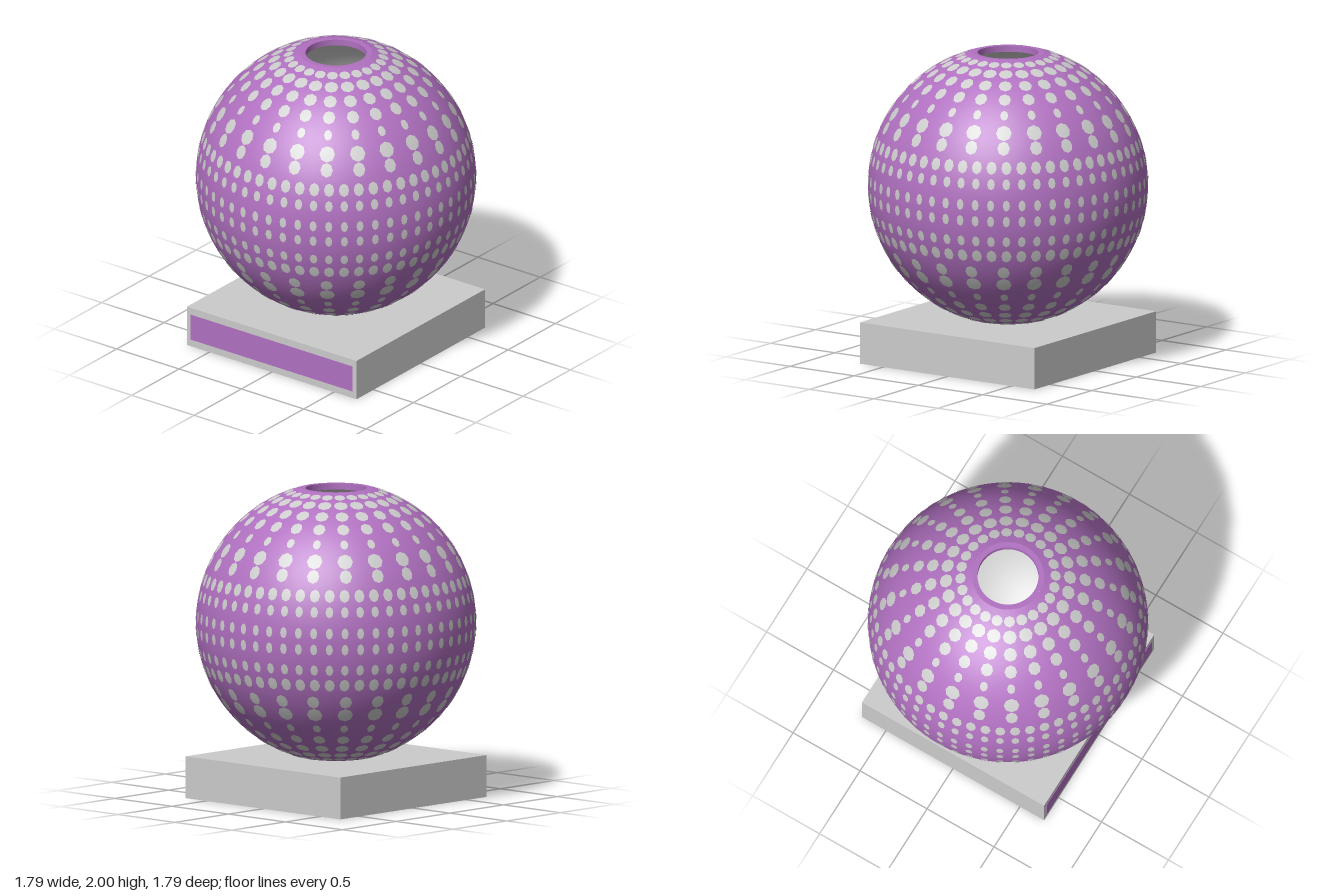
import * as THREE from 'three';
import { mergeGeometries } from 'three/addons/utils/BufferGeometryUtils.js';

const R = 0.895, CENTRE = 1.135, BASE = 0.27;
const grey = new THREE.MeshStandardMaterial({ color: 0xcccccc });
const greyInside = new THREE.MeshStandardMaterial({ color: 0xcccccc, side: THREE.DoubleSide });
const purple = new THREE.MeshStandardMaterial({ color: 0xb070c0 });
const purpleThin = new THREE.MeshStandardMaterial({ color: 0xb070c0, side: THREE.DoubleSide });

function part(name, geometry, material, y = 0, z = 0) {
  const mesh = new THREE.Mesh(geometry, material);
  mesh.name = name;
  mesh.position.set(0, y, z);
  return mesh;
}

// Arc of a sphere cut flat at heights y0 and y1 (relative to its centre)
function sphereArc(r, y0, y1, steps = 48) {
  const a0 = Math.asin(y0 / r), a1 = Math.asin(y1 / r);
  return Array.from({ length: steps + 1 }, (_, i) => {
    const a = a0 + (a1 - a0) * i / steps;
    return new THREE.Vector2(r * Math.cos(a), r * Math.sin(a));
  });
}

// Eight-sided spot wrapped onto the sphere
function spot(offset, angle, halfW, halfH) {
  const g = new THREE.CircleGeometry(1, 8);
  const lat = Math.asin(offset / R);
  const p = g.attributes.position, n = g.attributes.normal, v = new THREE.Vector3();
  for (let i = 0; i < p.count; i++) {
    v.set(p.getX(i) * halfW, p.getY(i) * halfH, R)
      .applyEuler(new THREE.Euler(-lat, angle, 0, 'YXZ')).normalize();
    n.setXYZ(i, v.x, v.y, v.z);
    v.multiplyScalar(R + 0.003);
    p.setXYZ(i, v.x, v.y, v.z);
  }
  return g;
}

export function createModel() {
  const model = new THREE.Group();
  model.name = 'spottedGlobe';

  // Square base with a front panel
  model.add(part('base', new THREE.BoxGeometry(1.36, BASE, 1.36), grey, BASE / 2));
  model.add(part('frontPanel', new THREE.BoxGeometry(1.3, 0.175, 0.006), purple, 0.135, 0.68));

  // Hollow globe, cut flat at top and bottom
  const cut = 2 - CENTRE;
  model.add(part('globe', new THREE.LatheGeometry(sphereArc(R, -cut, cut), 96), purple, CENTRE));
  const lining = [new THREE.Vector2(0, -cut + 0.02), ...sphereArc(R - 0.03, -cut + 0.02, 0.835)];
  model.add(part('lining', new THREE.LatheGeometry(lining, 64), greyInside, CENTRE));

  // Flat rim and the short wall of the opening
  const rim = new THREE.RingGeometry(0.195, Math.sqrt(R * R - cut * cut), 64).rotateX(-Math.PI / 2);
  model.add(part('topRim', rim, purpleThin, 2));
  model.add(part('openingWall', new THREE.CylinderGeometry(0.195, 0.195, 0.04, 64, 1, true), purpleThin, 1.98));

  // Spot rows: height from the equator, count, half width, half height
  const rows = [
    [0.052, 56, 0.023, 0.036], [0.187, 56, 0.025, 0.036],
    [0.288, 56, 0.033, 0.043], [0.405, 24, 0.04, 0.047],
    [0.494, 24, 0.05, 0.053], [0.593, 24, 0.026, 0.036],
    [0.677, 24, 0.04, 0.046], [0.747, 24, 0.043, 0.046],
    [0.803, 24, 0.045, 0.045], [0.842, 24, 0.036, 0.036],
  ];
  const spots = [];
  for (const [height, count, w, h] of rows)
    for (const side of [1, -1])
      for (let i = 0; i < count; i++)
        spots.push(spot(side * height, (count === 24 ? 0.05 : 0.036) + i * 2 * Math.PI / count, w, h));
  model.add(part('spots', mergeGeometries(spots), grey, CENTRE));

  return model;
}
